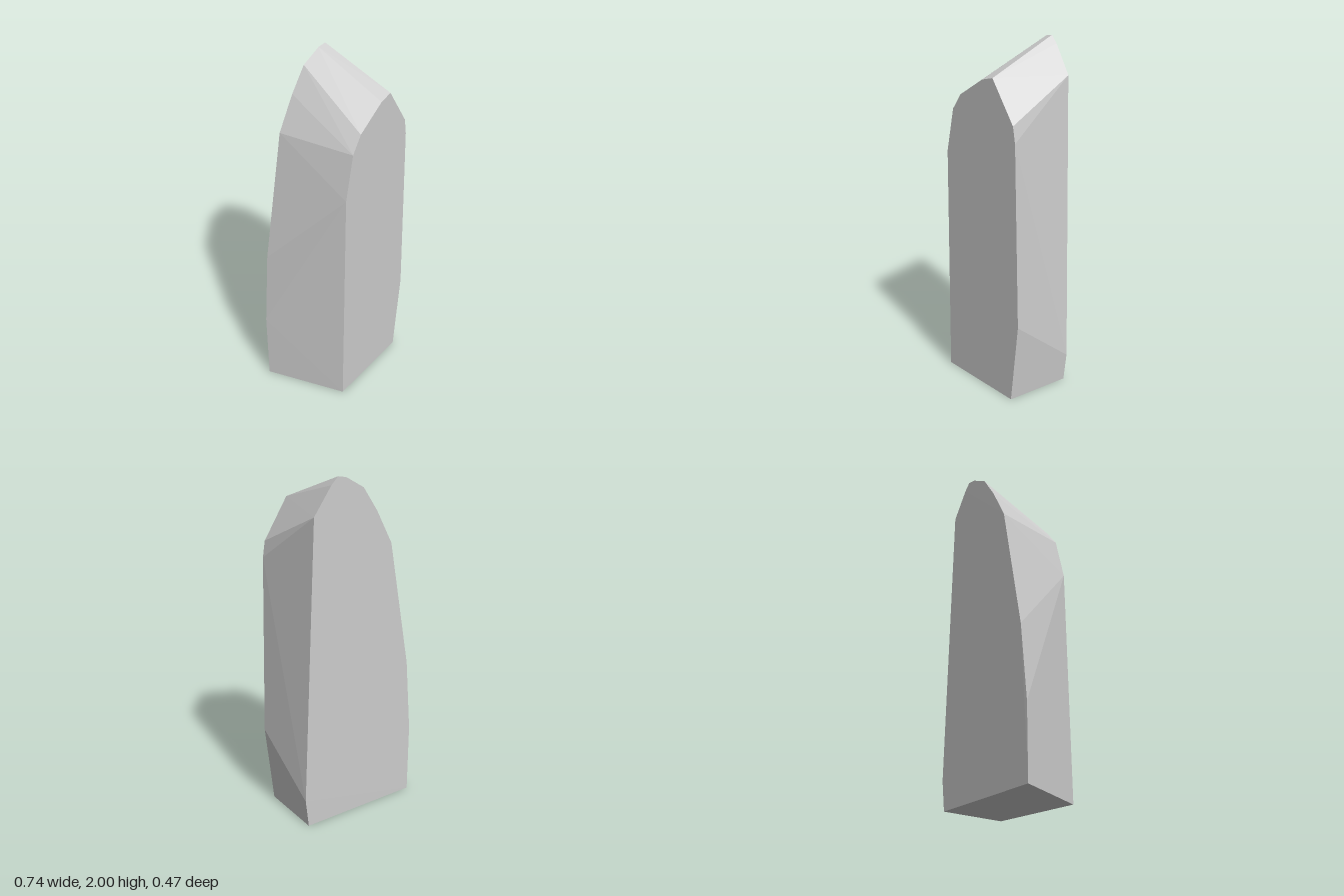
import * as THREE from 'three';
import { ConvexGeometry } from 'three/addons/geometries/ConvexGeometry.js';

export function createModel() {
  const group = new THREE.Group();
  group.name = 'standingStone';
  const stone = new THREE.MeshStandardMaterial({ color: 0xcccccc, flatShading: true });
  stone.name = 'pale grey stone';

  // Flat front outline (x, y)
  const frontZ = 0.235;
  const front = [
    [-0.24, 0], [-0.222, 1.36], [-0.165, 1.61], [-0.1, 1.7], [0.08, 1.81],
    [0.16, 1.83], [0.315, 1.61], [0.331, 1.52], [0.36, 0.48], [0.305, 0],
  ].map(([x, y]) => new THREE.Vector3(x, y, frontZ));

  // Taller, slanted back outline (x, y, z)
  const back = [
    [-0.37, 0, -0.232], [-0.37, 0.42, -0.235], [-0.33, 0.86, -0.235], [-0.19, 1.6, -0.225],
    [-0.09, 1.79, -0.214], [0, 1.925, -0.204], [0.11, 1.99, -0.191], [0.16, 2, -0.185],
    [0.2, 1.96, -0.18], [0.305, 1.81, -0.166], [0.37, 0.17, -0.145], [0.35, 0, -0.145],
  ].map((p) => new THREE.Vector3(...p));

  // Faceted body spanning the two outlines
  const body = new THREE.Mesh(new ConvexGeometry([...front, ...back]), stone);
  body.name = 'stoneBody';
  group.add(body);
  return group;
}
